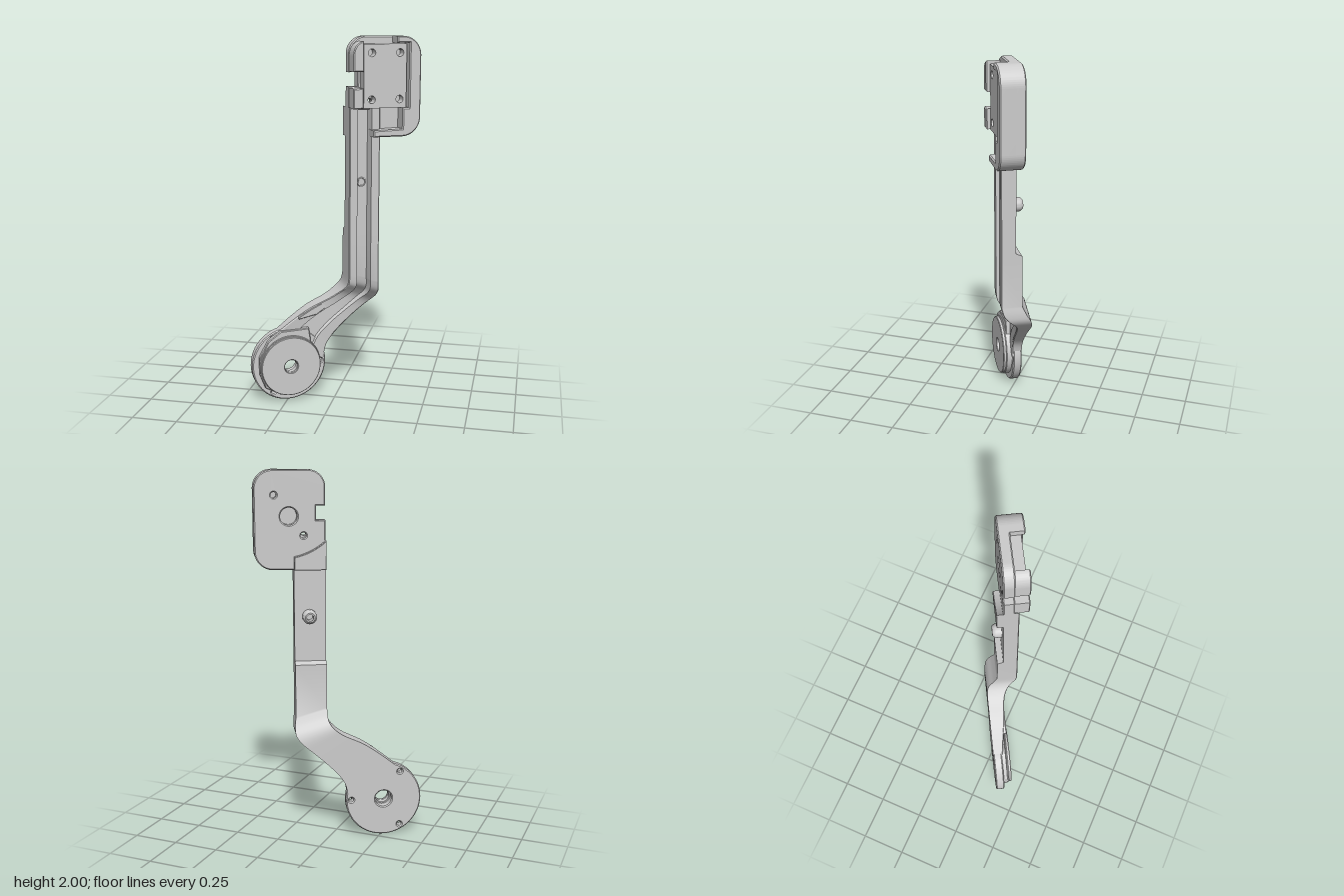
import * as THREE from 'three';
import { toCreasedNormals } from 'three/addons/utils/BufferGeometryUtils.js';

const grey = new THREE.MeshStandardMaterial({ color: 0xcccccc });
grey.name = 'light grey';

function mesh(name, geometry, crease = 0.5) {
  const m = new THREE.Mesh(toCreasedNormals(geometry, crease), grey);
  m.name = name;
  return m;
}

// Flat part drawn in x-y, reaching from z = back to z = front
function plate(name, shape, back, front, bevel = 0.006) {
  const g = new THREE.ExtrudeGeometry(shape, {
    depth: front - back - 2 * bevel, bevelEnabled: bevel > 0, bevelThickness: bevel,
    bevelSize: bevel, bevelOffset: -bevel, bevelSegments: 1, curveSegments: 32,
  });
  g.translate(0, 0, back + bevel);
  return mesh(name, g);
}

const poly = (pts) => new THREE.Shape(pts.map(([x, y]) => new THREE.Vector2(x, y)));
const disc = (x, y, r) => new THREE.Shape().absarc(x, y, r, 0, Math.PI * 2, false);

function drill(shape, x, y, r) {
  shape.holes.push(new THREE.Path().absarc(x, y, r, 0, Math.PI * 2, true));
  return shape;
}

// Catmull-Rom subdivision of section rows
function smoothRows(rows, steps) {
  const out = [];
  const at = (i) => rows[Math.min(Math.max(i, 0), rows.length - 1)];
  for (let i = 0; i < rows.length - 1; i++) {
    for (let s = 0; s < steps; s++) {
      const t = s / steps;
      out.push(rows[i].map((p1, k) => {
        const p0 = at(i - 1)[k], p2 = at(i + 1)[k], p3 = at(i + 2)[k];
        return p1 + 0.5 * t * (p2 - p0 + t * (2 * p0 - 5 * p1 + 4 * p2 - p3 + t * (3 * (p1 - p2) + p3 - p0)));
      }));
    }
  }
  return [...out, at(rows.length)];
}

// U-shaped section carried along rows of
// [left x, left y, right x, right y, back, floor, left rim, right rim]
function channel(rows) {
  const pos = [];
  const rings = rows.map(([lx, ly, rx, ry, back, floor, fl, fr]) =>
    [[0, back], [1, back], [1, fr - 0.004], [0.975, fr], [0.72, fr], [0.68, floor],
      [0.3, floor], [0.26, fl], [0.025, fl], [0, fl - 0.004]]
      .map(([t, z]) => [lx + (rx - lx) * t, ly + (ry - ly) * t, z]));
  for (let i = 0; i < rings.length - 1; i++) {
    const n = rings[i].length;
    for (let j = 0; j < n; j++) {
      const k = (j + 1) % n;
      const a = rings[i][j], b = rings[i][k], c = rings[i + 1][k], d = rings[i + 1][j];
      pos.push(...a, ...d, ...c, ...a, ...c, ...b);
    }
  }
  const g = new THREE.BufferGeometry();
  g.setAttribute('position', new THREE.Float32BufferAttribute(pos, 3));
  return g;
}

// Right side of the head outline, shared by base and rim
function headSide(startX) {
  const s = new THREE.Shape();
  s.moveTo(startX, 1.48);
  s.lineTo(0.335, 1.48);
  s.absarc(0.335, 1.58, 0.1, -Math.PI / 2, 0, false);
  s.lineTo(0.435, 1.9);
  s.absarc(0.335, 1.9, 0.1, 0, Math.PI / 2, false);
  return s;
}

export function createModel() {
  const model = new THREE.Group();
  model.name = 'bracketArm';
  const body = new THREE.Group();
  body.name = 'arm';
  body.rotation.y = Math.PI / 6;
  model.add(body);

  // Round lower paddle with its hub
  const cx = -0.248, cy = 0.21;
  const paddle = drill(disc(cx, cy, 0.21), cx, cy, 0.046);
  for (const a of [0, 2.1, -2.1]) {
    drill(paddle, cx + 0.18 * Math.cos(a), cy + 0.18 * Math.sin(a), 0.013);
  }
  body.add(plate('paddle', paddle, -0.1, -0.05, 0.006));
  body.add(plate('hub', drill(disc(cx, cy, 0.172), cx, cy, 0.038), -0.055, -0.02, 0.002));
  body.add(plate('hubDisc', drill(disc(cx, cy, 0.168), cx, cy, 0.038), -0.02, -0.002, 0.003));
  const guard = drill(poly([[-0.42, 0.17], [-0.42, 0.27], [-0.37, 0.36], [-0.3, 0.41], [-0.14, 0.415],
    [-0.13, 0.35], [-0.13, 0.1], [-0.3, 0.04], [-0.39, 0.09]]), cx, cy, 0.06);
  body.add(plate('paddleGuard', guard, -0.06, -0.025, 0.004));

  // Bend and long channel arm
  const bend = smoothRows([
    [-0.31, 0.405, -0.052, 0.22, -0.1, -0.052, -0.045, -0.045],
    [-0.22, 0.475, -0.032, 0.31, -0.1, -0.052, -0.03, -0.042],
    [-0.13, 0.535, 0.03, 0.39, -0.1, -0.052, -0.016, -0.036],
    [-0.03, 0.582, 0.12, 0.475, -0.1, -0.052, -0.004, -0.028],
    [0.02, 0.617, 0.195, 0.54, -0.098, -0.045, 0.016, -0.01],
    [0.046, 0.647, 0.23, 0.585, -0.084, -0.015, 0.045, 0.03],
    [0.056, 0.68, 0.235, 0.63, -0.058, 0.018, 0.073, 0.066],
    [0.058, 0.73, 0.228, 0.68, -0.035, 0.03, 0.08, 0.08],
  ], 4);
  body.add(mesh('channelArm', channel([
    ...bend,
    [0.058, 0.97, 0.228, 0.97, -0.033, 0.03, 0.08, 0.08],
    [0.058, 0.985, 0.228, 0.985, 0, 0.03, 0.08, 0.08],
    [0.058, 1.635, 0.228, 1.635, 0, 0.03, 0.08, 0.08],
  ])));
  body.add(plate('bendPad', poly([[-0.2, 0.475], [-0.1, 0.495], [-0.03, 0.54], [0.01, 0.555],
    [0.01, 0.595], [-0.04, 0.57], [-0.13, 0.528], [-0.2, 0.488]]), -0.06, -0.01, 0.003));

  // Hollow stud behind the arm and its hole in the channel
  const stud = new THREE.LatheGeometry([[0.038, -0.005], [0.038, 0.03], [0.036, 0.038], [0.026, 0.05],
    [0.018, 0.05], [0.018, -0.005]].map(([r, y]) => new THREE.Vector2(r, y)), 32);
  stud.rotateX(-Math.PI / 2);
  stud.translate(0.148, 1.23, 0);
  body.add(mesh('backStud', stud));
  const ring = new THREE.TorusGeometry(0.022, 0.004, 8, 32);
  ring.translate(0.142, 1.23, 0.03);
  body.add(mesh('channelHole', ring));

  // Thickening where arm meets head
  const step = poly([[0.058, 1.48], [0.228, 1.48], [0.228, 1.55]]);
  step.quadraticCurveTo(0.13, 1.57, 0.058, 1.635);
  body.add(plate('backStep', step, -0.034, 0.005, 0.003));

  // Head base with bores and side notch
  const head = headSide(0.2);
  head.lineTo(0.15, 2);
  head.absarc(0.15, 1.91, 0.09, Math.PI / 2, Math.PI, false);
  for (const [x, y] of [[0.06, 1.815], [0.108, 1.815], [0.108, 1.74], [0.06, 1.74], [0.06, 1.62], [0.2, 1.62]]) {
    head.lineTo(x, y);
  }
  drill(head, 0.252, 1.76, 0.045);
  drill(head, 0.33, 1.87, 0.015);
  drill(head, 0.175, 1.66, 0.015);
  body.add(plate('headBase', head, 0, 0.058, 0.006));

  // Raised rim around the head
  const rim = headSide(0.175);
  for (const [x, y] of [[0.3, 2], [0.3, 1.965], [0.37, 1.965], [0.37, 1.63], [0.335, 1.63],
    [0.335, 1.52], [0.175, 1.515]]) {
    rim.lineTo(x, y);
  }
  body.add(plate('headRim', rim, 0.045, 0.13, 0.006));

  // Screwed mounting plate
  const mount = poly([[0.124, 1.63], [0.36, 1.63], [0.36, 1.96], [0.124, 1.96]]);
  for (const x of [0.168, 0.323]) for (const y of [1.675, 1.915]) drill(mount, x, y, 0.02);
  body.add(plate('mountPlate', mount, 0.056, 0.11, 0));

  // Clamp jaws either side of the notch
  const upper = poly([[0.062, 1.82], [0.118, 1.82], [0.118, 1.975]]);
  upper.quadraticCurveTo(0.064, 1.965, 0.062, 1.9);
  body.add(plate('upperJaw', upper, 0.04, 0.13, 0.005));
  body.add(plate('lowerJaw', poly([[0.062, 1.63], [0.118, 1.63], [0.118, 1.735], [0.062, 1.735]]), 0.04, 0.13, 0.005));

  return model;
}
